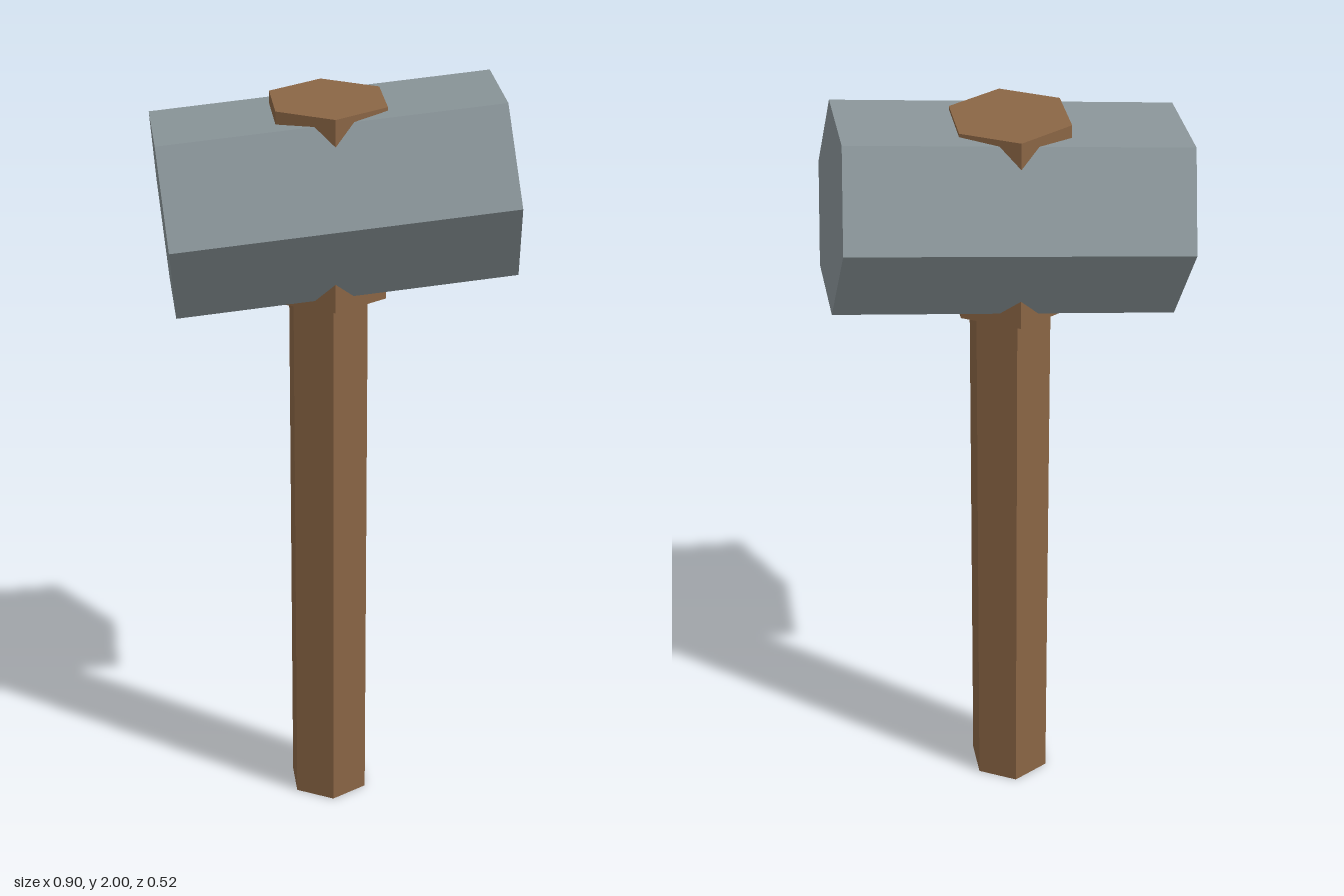
import * as THREE from 'three';

export function createModel() {
  const model = new THREE.Group();
  model.name = 'hammer';

  const wood = new THREE.MeshStandardMaterial({ color: 0x8b6645, flatShading: true });
  wood.name = 'wood';
  const steel = new THREE.MeshStandardMaterial({ color: 0x8a9599, flatShading: true });
  steel.name = 'steel';

  // Six-sided bar with corners pointing along +z and -z
  function hexBar(name, radius, length, material, x, y) {
    const mesh = new THREE.Mesh(new THREE.CylinderGeometry(radius, radius, length, 6), material);
    mesh.name = name;
    mesh.position.set(x, y, 0);
    model.add(mesh);
    return mesh;
  }

  const handleX = -0.015;

  // Shaft from the ground up into the collar
  hexBar('handle', 0.109, 1.5, wood, handleX, 0.75);

  // Wider collar through the head, showing above and below it
  hexBar('collar', 0.159, 0.505, wood, handleX, 1.7325);

  // Head lies along x, tilted up by five degrees on the +x side
  const head = hexBar('head', 0.262, 0.863, steel, 0, 1.7375);
  head.rotation.z = -Math.PI / 2 + THREE.MathUtils.degToRad(5);

  return model;
}
